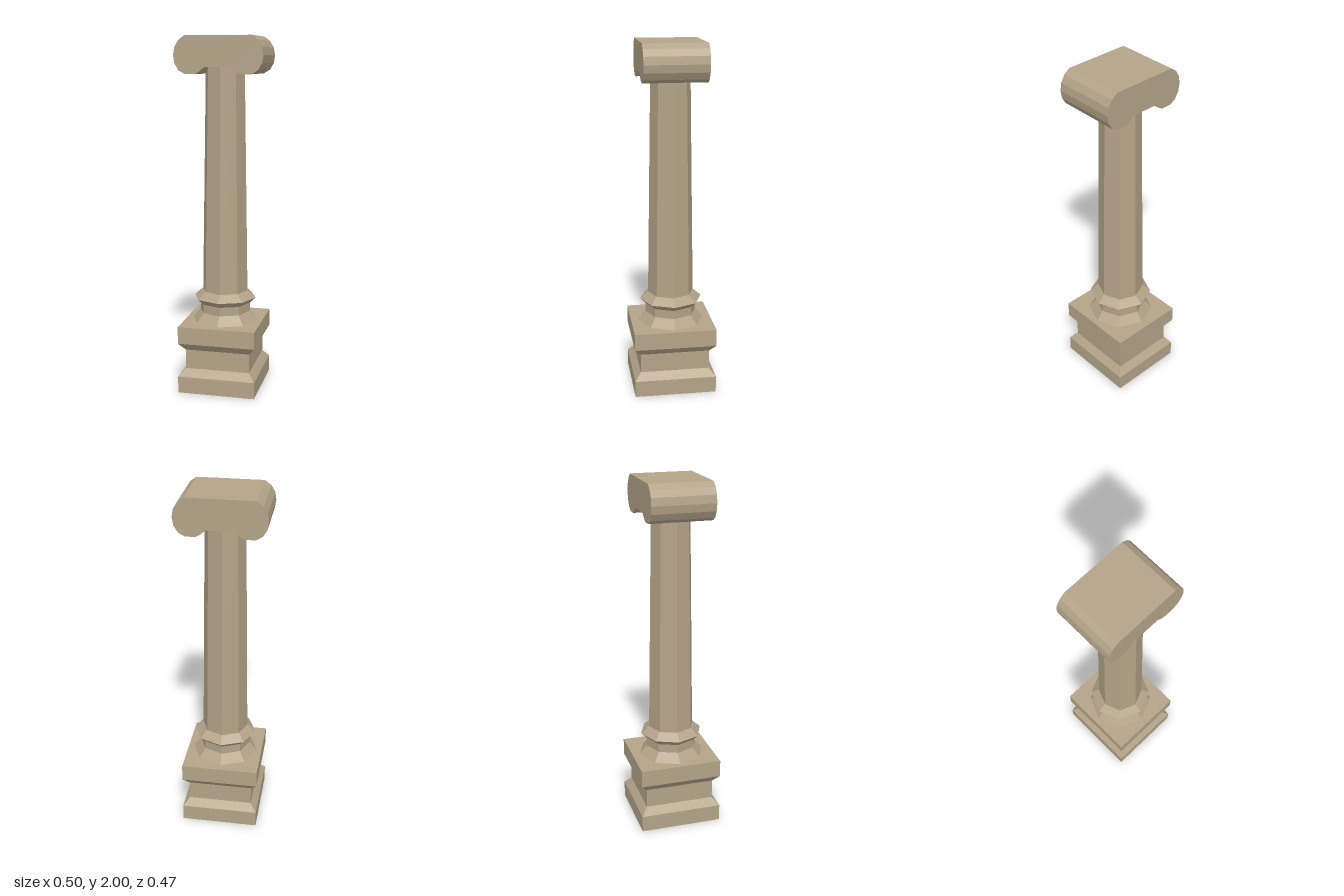
import * as THREE from 'three';

const stone = new THREE.MeshStandardMaterial({ color: 0xb3a388, flatShading: true });
stone.name = 'sandstone';

// Skins a stack of closed rings (counter-clockwise seen from above) and caps both ends
function loft(rings) {
  const pos = [];
  const tri = (...pts) => pts.forEach((p) => pos.push(...p));
  const n = rings[0].length;
  for (let i = 0; i < rings.length - 1; i++) {
    for (let j = 0; j < n; j++) {
      const k = (j + 1) % n;
      const a = rings[i][j], b = rings[i][k], c = rings[i + 1][k], d = rings[i + 1][j];
      tri(a, b, c);
      tri(a, c, d);
    }
  }
  const low = rings[0], high = rings[rings.length - 1];
  for (let j = 1; j < n - 1; j++) {
    tri(low[0], low[j + 1], low[j]);
    tri(high[0], high[j], high[j + 1]);
  }
  const geo = new THREE.BufferGeometry();
  geo.setAttribute('position', new THREE.Float32BufferAttribute(pos, 3));
  geo.computeVertexNormals();
  return geo;
}

// Rectangular ring, inset equally from the plinth's full footprint
const rectRing = ([y, inset]) => {
  const x = 0.22 - inset, z = 0.235 - inset;
  return [[-x, y, z], [x, y, z], [x, y, -z], [-x, y, -z]];
};

// Octagonal ring with a corner facing front
const octRing = ([y, r]) => Array.from({ length: 8 }, (_, i) => {
  const a = (i * Math.PI) / 4;
  return [Math.sin(a) * r, y, Math.cos(a) * r];
});

export function createModel() {
  const group = new THREE.Group();
  group.name = 'column';
  const add = (name, geo) => {
    const mesh = new THREE.Mesh(geo, stone);
    mesh.name = name;
    group.add(mesh);
  };

  // Square pedestal with a recessed waist
  add('plinth', loft([
    [0, 0], [0.095, 0], [0.137, 0.036], [0.247, 0.036], [0.29, 0], [0.388, 0],
  ].map(rectRing)));

  // Octagonal moulding under the shaft
  add('baseMoulding', loft([
    [0.388, 0.19], [0.44, 0.147], [0.49, 0.147], [0.522, 0.18], [0.562, 0.135],
  ].map(octRing)));

  // Tapering octagonal shaft
  add('shaft', loft([[0.56, 0.132], [1.833, 0.111]].map(octRing)));

  // Scroll capital: half profile mirrored, then extruded front to back
  const half = [
    [0.185, 2], [0.219, 1.975], [0.241, 1.938], [0.248, 1.895], [0.241, 1.852],
    [0.219, 1.815], [0.185, 1.795], [0.13, 1.794], [0.105, 1.806], [0.075, 1.832],
  ];
  const outline = [...half, ...half.map(([x, y]) => [-x, y]).reverse()];
  const shape = new THREE.Shape(outline.map(([x, y]) => new THREE.Vector2(x, y)));
  const capital = new THREE.ExtrudeGeometry(shape, { depth: 0.352, bevelEnabled: false });
  capital.translate(0, 0, -0.176);
  add('scrollCapital', capital);

  return group;
}
